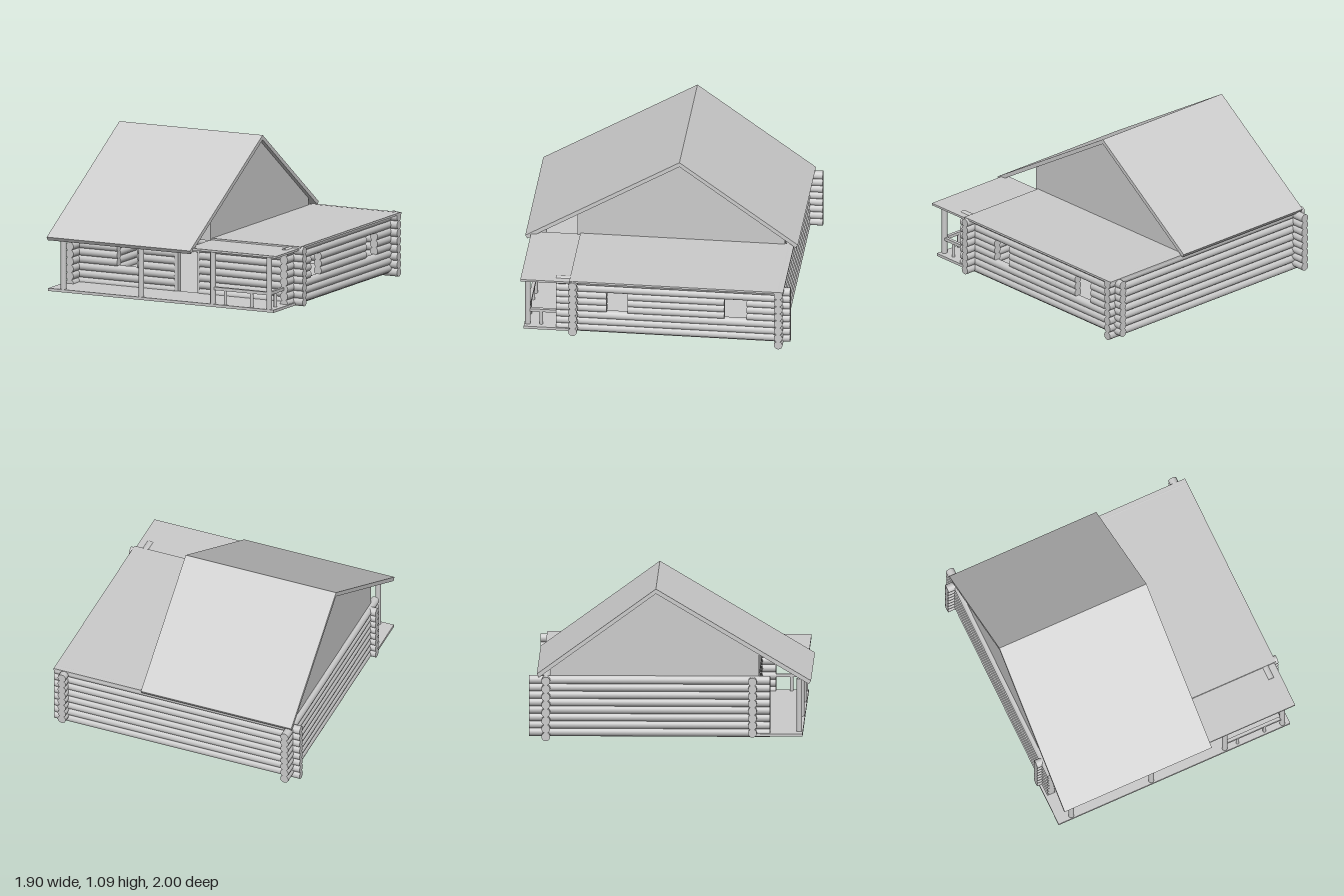
import * as THREE from 'three';

const grey = new THREE.MeshStandardMaterial({ color: 0xcccccc });

export function createModel() {
  const cabin = new THREE.Group();
  cabin.name = 'logCabin';

  const add = (name, geometry, parent = cabin) => {
    const mesh = new THREE.Mesh(geometry, grey);
    mesh.name = name;
    parent.add(mesh);
    return mesh;
  };

  // Box given by its minimum and maximum on each axis
  const box = (name, x0, x1, y0, y1, z0, z1, parent) =>
    add(name, new THREE.BoxGeometry(x1 - x0, y1 - y0, z1 - z0), parent)
      .position.set((x0 + x1) / 2, (y0 + y1) / 2, (z0 + z1) / 2);

  // Upright round post
  const post = (name, x, z, y0, y1, r, parent) =>
    add(name, new THREE.CylinderGeometry(r, r, y1 - y0, 16), parent)
      .position.set(x, (y0 + y1) / 2, z);

  // Profile in the z-y plane, extruded along x
  const extrudeAlongX = (name, points, x0, x1) => {
    const shape = new THREE.Shape(points.map(([z, y]) => new THREE.Vector2(z, y)));
    const geometry = new THREE.ExtrudeGeometry(shape, { depth: x1 - x0, bevelEnabled: false });
    geometry.rotateY(-Math.PI / 2).translate(x1, 0, 0);
    return add(name, geometry);
  };

  // Stack of logs along an axis, interrupted at rectangular openings [from, to, bottom, top]
  const logWall = (name, axis, at, from, to, y0, pitch, openings = []) => {
    const wall = new THREE.Group();
    wall.name = name;
    cabin.add(wall);
    for (let i = 0; i < 8; i++) {
      const y = y0 + i * pitch;
      const cuts = openings.filter((o) => y > o[2] && y < o[3]).sort((a, b) => a[0] - b[0]);
      let start = from;
      for (const [a, b] of [...cuts, [to, to]]) {
        const log = add('log', new THREE.CylinderGeometry(0.031, 0.031, a - start, 16), wall);
        const middle = (a + start) / 2;
        if (axis === 'x') {
          log.rotation.z = Math.PI / 2;
          log.position.set(middle, y, at);
        } else {
          log.rotation.x = Math.PI / 2;
          log.position.set(at, y, middle);
        }
        start = b;
      }
    }
  };

  // Log walls with window and door openings
  logWall('frontWall', 'x', 0.585, -0.935, 0.95, 0.06, 0.0525,
    [[-0.54, -0.38, 0.2, 0.36], [-0.08, 0.12, 0.04, 0.4]]);
  logWall('backWall', 'x', -0.88, -0.95, 0.93, 0.031, 0.057);
  logWall('leftWall', 'z', 0.85, -0.96, 0.71, 0.058, 0.0525,
    [[-0.65, -0.49, 0.2, 0.36], [0.2, 0.35, 0.2, 0.36]]);
  logWall('rightWall', 'z', -0.87, -1.0, 0.71, 0.055, 0.0535);

  // Door frame
  box('doorHeader', -0.08, 0.12, 0.35, 0.405, 0.56, 0.61);
  box('doorJamb', -0.08, -0.055, 0.05, 0.35, 0.56, 0.61);
  box('doorJamb', 0.105, 0.12, 0.05, 0.35, 0.56, 0.61);

  // Floors
  box('houseFloor', -0.88, 0.86, 0.025, 0.04, -0.89, 0.62);
  box('porchFloor', -0.92, 0.89, 0.035, 0.055, 0.6, 0.94);

  // Porch posts and low railing
  for (const x of [-0.81, -0.185, 0.39, 0.84]) post('porchPost', x, 0.915, 0.055, 0.435, 0.02);
  const railing = new THREE.Group();
  railing.name = 'porchRailing';
  cabin.add(railing);
  box('frontRail', 0.39, 0.84, 0.155, 0.177, 0.903, 0.927, railing);
  box('sideRail', 0.828, 0.852, 0.155, 0.177, 0.7, 0.915, railing);
  for (const [x, z] of [[0.49, 0.915], [0.7, 0.915], [0.84, 0.82]]) {
    post('railPost', x, z, 0.055, 0.16, 0.012, railing);
  }

  // Loft under the pitched roof, closed by gables
  extrudeAlongX('loft',
    [[0.63, 0.445], [0.63, 0.62], [-0.1, 1.058], [-0.85, 0.51], [-0.85, 0.445]], -0.87, 0.22);

  // Pitched roof
  extrudeAlongX('pitchedRoof',
    [[1.0, 0.435], [-0.1, 1.09], [-0.945, 0.475], [-0.93, 0.45], [-0.1, 1.056], [0.985, 0.41]],
    -0.9, 0.25);

  // Flat roofs over the side wing and its porch
  box('flatRoof', 0.21, 0.93, 0.445, 0.46, -0.915, 0.61);
  box('porchRoof', 0.21, 0.92, 0.433, 0.448, 0.6, 0.96);

  return cabin;
}
